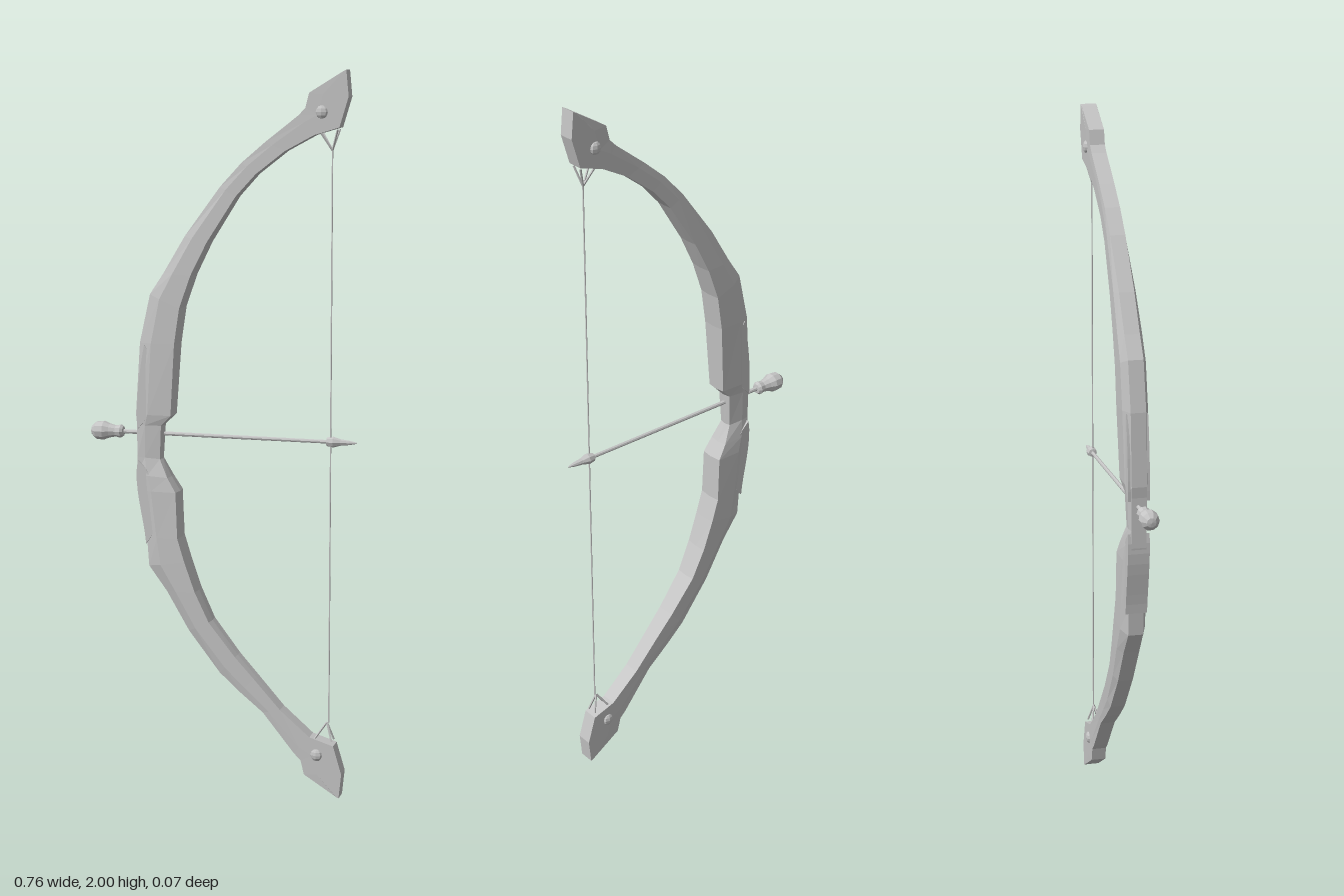
import * as THREE from 'three';

const grey = new THREE.MeshStandardMaterial({ color: 0xc4c4c4 });
grey.name = 'plain grey';

// faceted mesh helper
function part(name, geometry) {
  const g = geometry.index ? geometry.toNonIndexed() : geometry;
  g.computeVertexNormals();
  const m = new THREE.Mesh(g, grey);
  m.name = name;
  return m;
}

// thin rod between two points
function rod(name, a, b, r, sides = 5) {
  const line = new THREE.LineCurve3(new THREE.Vector3(...a), new THREE.Vector3(...b));
  return part(name, new THREE.TubeGeometry(line, 1, r, sides, false));
}

// solid turned along x; points are [x, radius]
function turned(name, points, sides) {
  const g = new THREE.LatheGeometry(points.map(([x, r]) => new THREE.Vector2(r, x)), sides);
  g.rotateZ(-Math.PI / 2);
  return part(name, g);
}

// cross-section stations: back x, back y, belly x, belly y
const tipStations = [
  [0.335, 1.995, 0.345, 2.0],
  [0.245, 1.94, 0.352, 1.93],
  [0.235, 1.90, 0.328, 1.85],
  [0.215, 1.88, 0.26, 1.83],
];
const upperLimb = [
  [0.125, 1.81, 0.18, 1.787],
  [0.06, 1.755, 0.10, 1.725],
  [0.0, 1.69, 0.045, 1.665],
  [-0.10, 1.555, -0.035, 1.54],
  [-0.16, 1.455, -0.08, 1.45],
  [-0.20, 1.395, -0.112, 1.36],
  [-0.23, 1.26, -0.127, 1.26],
];
const grip = [
  [-0.243, 1.06, -0.14, 1.06],
  [-0.24, 1.03, -0.17, 1.03],
  [-0.24, 0.94, -0.175, 0.935],
  [-0.24, 0.89, -0.15, 0.885],
  [-0.235, 0.845, -0.125, 0.845],
];
const lowerLimb = [
  [-0.213, 0.71, -0.12, 0.715],
  [-0.207, 0.63, -0.10, 0.65],
  [-0.155, 0.56, -0.07, 0.565],
  [-0.09, 0.45, -0.03, 0.48],
  [0.0, 0.335, 0.045, 0.385],
  [0.06, 0.282, 0.10, 0.325],
  [0.125, 0.23, 0.175, 0.242],
];

// ring of seven corners; the limb swells towards the riser and pinches at the grip
function section([ox, oy, ix, iy]) {
  const y = (oy + iy) / 2;
  const swell = 0.022 + 0.013 * (1 - THREE.MathUtils.smoothstep(Math.abs(y - 1), 0.35, 0.85));
  const pinch = Math.exp(-(((y - 0.975) / 0.075) ** 2));
  const side = swell * (1 - 0.42 * pinch), belly = swell * (1 - 0.62 * pinch);
  const ridge = 0.004 * (swell - 0.022) / 0.013;
  return [[0, 0.021, 0], [0.35, side, 0], [1, belly, 0], [1, 0, ridge],
    [1, -belly, 0], [0.35, -side, 0], [0, -0.021, 0]]
    .flatMap(([t, z, out]) => [ox + (ix - ox) * t + out, oy + (iy - oy) * t, z]);
}

function bowBody() {
  const lowerTip = tipStations.map(([ox, oy, ix, iy]) => [ox, 2 - oy, ix, 2 - iy]).reverse();
  const stations = [...tipStations, ...upperLimb, ...grip, ...lowerLimb, ...lowerTip];
  const n = 7, last = (stations.length - 1) * n, idx = [];
  for (let row = 0; row < last; row += n) {
    for (let j = 0; j < n; j++) {
      const a = row + j, b = row + (j + 1) % n, d = a + n, c = b + n;
      idx.push(a, d, b, b, d, c);
    }
  }
  for (let j = 1; j < n - 1; j++) {
    idx.push(0, j, j + 1, last, last + j + 1, last + j);
  }
  const g = new THREE.BufferGeometry();
  g.setAttribute('position', new THREE.Float32BufferAttribute(stations.flatMap(section), 3));
  g.setIndex(idx);
  return part('bowLimbsAndGrip', g);
}

// leaf-shaped panel passing through the riser
function leaf(name, bottom, top, bulge) {
  const s = new THREE.Shape();
  const h = top[1] - bottom[1];
  s.moveTo(...bottom);
  s.bezierCurveTo(bulge, bottom[1] + h * 0.2, bulge, top[1] - h * 0.2, ...top);
  s.bezierCurveTo(top[0] - 0.015, top[1] - h * 0.3, bottom[0] - 0.005, bottom[1] + h * 0.3, ...bottom);
  const g = new THREE.ExtrudeGeometry(s, { depth: 0.06, bevelEnabled: false, curveSegments: 8 });
  g.translate(0, 0, -0.03);
  return part(name, g);
}

export function createModel() {
  const bow = new THREE.Group();
  bow.name = 'bowAndArrow';
  bow.add(bowBody());
  bow.add(leaf('upperLeafPanel', [-0.236, 1.02], [-0.215, 1.255], -0.175));
  bow.add(leaf('lowerLeafPanel', [-0.213, 0.695], [-0.236, 0.93], -0.165));

  // pegs and string loops at both limb tips
  const ends = [
    { label: 'upper', pegY: 1.89, baseY: 1.845, tip: [0.305, 1.79, 0] },
    { label: 'lower', pegY: 0.12, baseY: 0.16, tip: [0.305, 0.212, 0] },
  ];
  for (const { label, pegY, baseY, tip } of ends) {
    for (const side of [-1, 1]) {
      const peg = part(label + 'Peg', new THREE.SphereGeometry(0.018, 8, 6));
      peg.scale.z = 0.6;
      peg.position.set(0.28, pegY, side * 0.02);
      bow.add(peg);
      for (const x of [0.27, 0.322]) {
        bow.add(rod(label + 'StringLoop', [x, baseY, side * 0.014], tip, 0.003));
      }
    }
  }
  bow.add(rod('bowString', ends[0].tip, [0.31, 0.212, 0], 0.002, 6));

  // arrow lying across the grip
  const arrow = new THREE.Group();
  arrow.name = 'arrow';
  arrow.add(turned('arrowShaft', [[-0.3, 0], [-0.3, 0.006], [0.31, 0.005], [0.31, 0]], 8));
  arrow.add(turned('arrowKnob', [[-0.382, 0], [-0.38, 0.013], [-0.367, 0.025], [-0.345, 0.027],
    [-0.328, 0.02], [-0.31, 0.016], [-0.295, 0.019], [-0.288, 0.014], [-0.286, 0]], 10));
  arrow.add(turned('arrowPoint', [[0.295, 0], [0.297, 0.012], [0.315, 0.015], [0.335, 0.009],
    [0.36, 0.006], [0.378, 0.002], [0.38, 0]], 8));
  arrow.position.set(0, 1.005, -0.002);
  bow.add(arrow);
  return bow;
}
